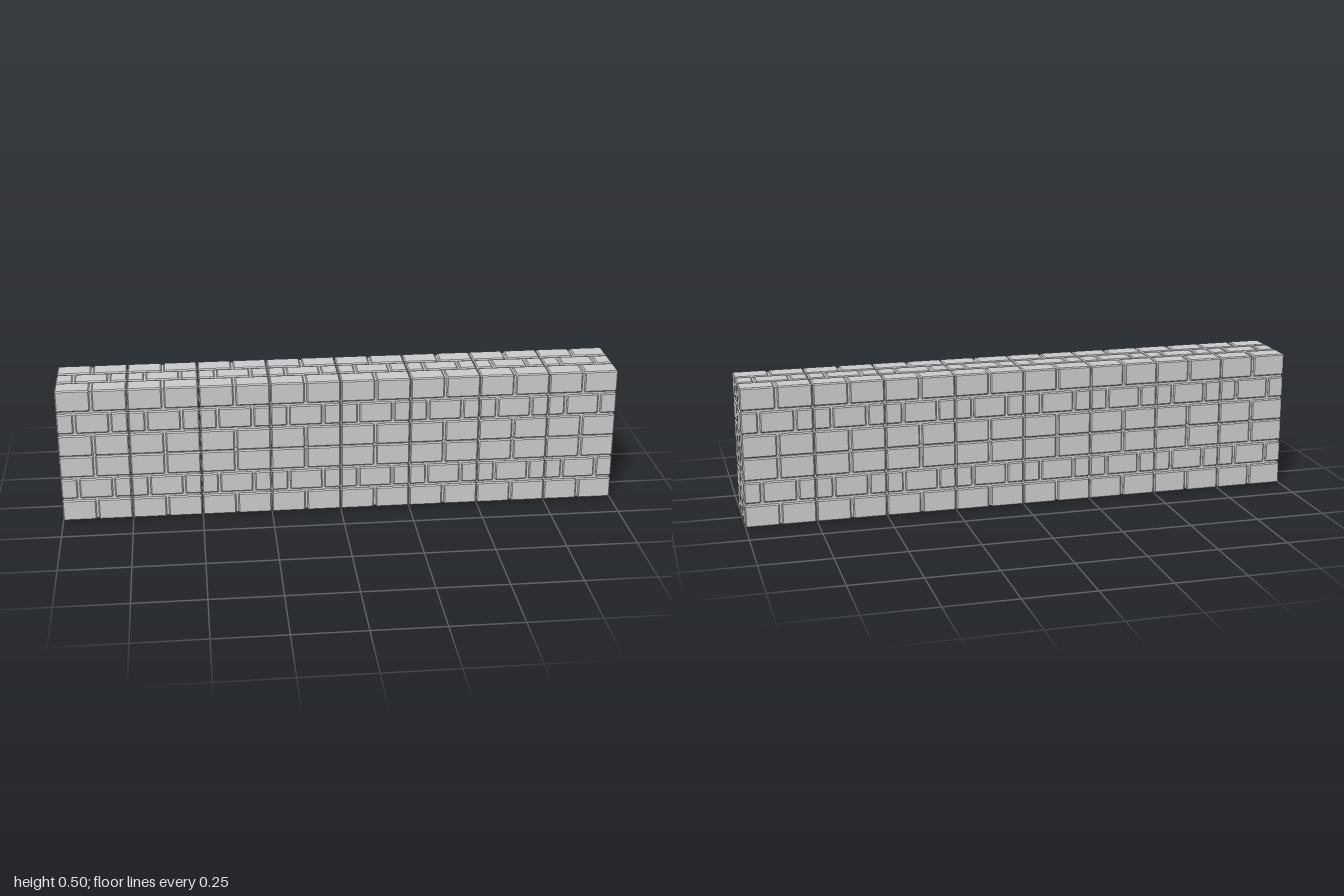
import * as THREE from 'three';
import { ConvexGeometry } from 'three/addons/geometries/ConvexGeometry.js';

const BLOCK = 0.2479;  // size of one cubic wall block
const PITCH = 0.2503;  // spacing between blocks
const GAP = 0.008;     // mortar joint width
const BEVEL = 0.004;
const CORE = 0.238;    // recessed mortar core

const material = new THREE.MeshStandardMaterial({ color: 0xcccccc, flatShading: true });

// Box with flat chamfers on every edge
function chamferedBox(w, h, d) {
  const points = [];
  for (const sx of [-1, 1]) for (const sy of [-1, 1]) for (const sz of [-1, 1]) {
    for (let axis = 0; axis < 3; axis++) {
      const inset = [BEVEL, BEVEL, BEVEL];
      inset[axis] = 0;
      points.push(new THREE.Vector3(
        sx * (w / 2 - inset[0]), sy * (h / 2 - inset[1]), sz * (d / 2 - inset[2])));
    }
  }
  return new ConvexGeometry(points);
}

// Split the block's width at the given fractions, leaving joints between spans
function spans(cuts) {
  const edges = [0, ...cuts, 1];
  return edges.slice(1).map((end, i) => {
    const a = (edges[i] - 0.5) * BLOCK + (i > 0 ? GAP / 2 : 0);
    const b = (end - 0.5) * BLOCK - (end < 1 ? GAP / 2 : 0);
    return { center: (a + b) / 2, size: b - a };
  });
}

const THIRDS = spans([1 / 3, 2 / 3]);
const HALVES = spans([0.5]);
const STAGGERED = spans([0.25, 0.75]);

// One cubic block: three courses of bricks around a mortar core
function createBlock(cache) {
  const block = new THREE.Group();
  block.name = 'wallBlock';

  const core = new THREE.Mesh(cache.core, material);
  core.name = 'mortarCore';
  block.add(core);

  THIRDS.forEach((course, row) => {
    const middle = row === 1;
    (middle ? HALVES : THIRDS).forEach((depth, layer) => {
      const columns = middle || layer === 1 ? STAGGERED : HALVES;
      for (const column of columns) {
        const dims = [column.size, course.size, depth.size];
        const key = dims.map((v) => v.toFixed(4)).join();
        cache[key] ??= chamferedBox(...dims);
        const brick = new THREE.Mesh(cache[key], material);
        brick.name = 'brick';
        brick.position.set(column.center, course.center, depth.center);
        block.add(brick);
      }
    });
  });
  return block;
}

export function createModel() {
  const wall = new THREE.Group();
  wall.name = 'brickWall';
  const cache = { core: new THREE.BoxGeometry(CORE, CORE, CORE) };

  // Eight blocks long, two blocks high
  for (let row = 0; row < 2; row++) {
    for (let i = 0; i < 8; i++) {
      const block = createBlock(cache);
      block.position.set((i - 3.5) * PITCH, BLOCK / 2 + row * PITCH, 0);
      wall.add(block);
    }
  }
  return wall;
}
